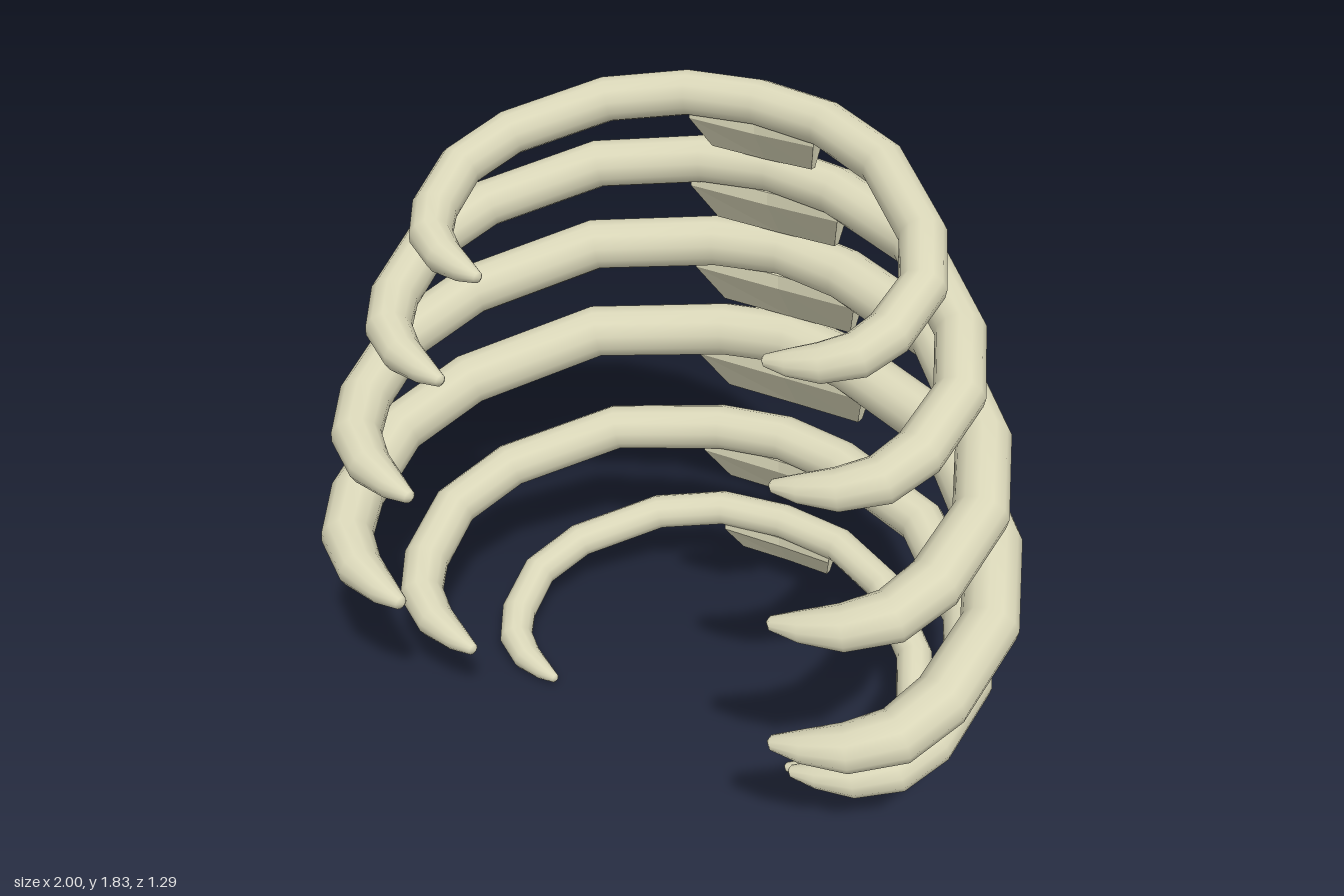
import * as THREE from 'three';

// Each rib: half width, back z/y, tip z/y, tube radius, plate scale
const RIBS = [
  { w: 0.66, zb: -0.34, yb: 1.79, zf: 0.385, yf: 1.51, r: 0.06, s: 0.69 },
  { w: 0.78, zb: -0.43, yb: 1.565, zf: 0.475, yf: 1.235, r: 0.065, s: 0.84 },
  { w: 0.87, zb: -0.512, yb: 1.28, zf: 0.575, yf: 0.915, r: 0.072, s: 0.94 },
  { w: 0.922, zb: -0.567, yb: 0.965, zf: 0.615, yf: 0.58, r: 0.077, s: 1 },
  { w: 0.835, zb: -0.545, yb: 0.63, zf: 0.385, yf: 0.275, r: 0.067, s: 0.9 },
  { w: 0.633, zb: -0.555, yb: 0.318, zf: 0.16, yf: 0.053, r: 0.052, s: 0.68 },
];

// Half of the rib outline: x as share of half width, depth from back to tip, thickness
const OUTLINE = [
  [0, 0, 1], [0.25, 0.027, 1], [0.61, 0.14, 1], [0.9, 0.385, 1], [1, 0.58, 1],
  [0.975, 0.78, 1], [0.91, 0.89, 0.95], [0.8, 0.955, 0.82], [0.69, 0.985, 0.55], [0.61, 1, 0.25],
];
const SIDES = 12;

function buildGeometry(positions, index) {
  const g = new THREE.BufferGeometry();
  g.setAttribute('position', new THREE.Float32BufferAttribute(positions, 3));
  g.setIndex(index);
  g.computeVertexNormals();
  return g;
}

// Tapered tube swept along the mirrored outline, lying in a tilted plane
function ribGeometry({ w, zb, yb, zf, yf, r }) {
  const half = OUTLINE.map(([x, t, k], i) => ({
    p: new THREE.Vector3(i === 1 ? 0.2 : x * w, yb + (yf - yb) * t, zb + (zf - zb) * t), k,
  }));
  const mirrored = half.slice(1).reverse().map(({ p, k }) => ({ p: new THREE.Vector3(-p.x, p.y, p.z), k }));
  const path = [...mirrored, ...half];
  const last = path.length - 1;
  const up = new THREE.Vector3(0, zf - zb, yb - yf).normalize();
  const pos = [], idx = [];
  path.forEach(({ p, k }, i) => {
    const a = path[Math.max(i - 1, 0)].p, b = path[Math.min(i + 1, last)].p;
    const dirIn = p.clone().sub(a).normalize(), dirOut = b.clone().sub(p).normalize();
    const side = up.clone().cross(dirIn.add(dirOut).normalize());
    for (let j = 0; j < SIDES; j++) {
      const ang = (j / SIDES) * Math.PI * 2;
      const q = p.clone().addScaledVector(side, Math.cos(ang) * r * k).addScaledVector(up, Math.sin(ang) * r * k);
      pos.push(q.x, q.y, q.z);
      if (i < last) {
        const n = (j + 1) % SIDES, o = i * SIDES;
        idx.push(o + j, o + n, o + SIDES + j, o + n, o + SIDES + n, o + SIDES + j);
      }
    }
  });
  // Rounded-off tips
  const c = path.length * SIDES;
  for (const end of [0, last]) {
    const p = path[end].p;
    pos.push(p.x - Math.sign(p.x) * r * 0.15, p.y, p.z);
  }
  for (let j = 0; j < SIDES; j++) {
    const n = (j + 1) % SIDES, o = last * SIDES;
    idx.push(c, n, j, c + 1, o + j, o + n);
  }
  return buildGeometry(pos, idx);
}

// Back plate profile: z, y, half width, running down the back and up the inside
const PLATE = [
  [-0.02, -0.04, 0.25], [-0.085, -0.14, 0.245], [-0.085, -0.262, 0.215],
  [-0.055, -0.258, 0.215], [0.04, -0.115, 0.265], [0.04, -0.07, 0.265],
];

// Plate bent along its middle, three columns of the profile plus side caps
function plateGeometry({ zb, yb, s }) {
  const pos = [], idx = [], n = PLATE.length;
  for (const side of [-1, 0, 1]) {
    for (const [z, y, hw] of PLATE) {
      const off = Math.abs(side);
      pos.push(side * hw * s, yb + (y + off * 0.02) * s, zb + (z + off * 0.03) * s);
    }
  }
  for (let c = 0; c < 2; c++) {
    for (let j = 0; j < n; j++) {
      const a = c * n + j, b = c * n + ((j + 1) % n);
      idx.push(a, b, a + n, b, b + n, a + n);
    }
  }
  for (let j = 1; j < n - 1; j++) {
    idx.push(0, j + 1, j, 2 * n, 2 * n + j, 2 * n + j + 1);
  }
  return buildGeometry(pos, idx);
}

export function createModel() {
  const model = new THREE.Group();
  model.name = 'ribCage';
  const bone = new THREE.MeshStandardMaterial({ color: 0xd9d6b8 });
  const plateBone = new THREE.MeshStandardMaterial({ color: 0xd9d6b8, flatShading: true, side: THREE.DoubleSide });

  RIBS.forEach((spec, i) => {
    const pair = new THREE.Group();
    pair.name = `ribSegment${i + 1}`;
    const rib = new THREE.Mesh(ribGeometry(spec), bone);
    rib.name = 'rib';
    const plate = new THREE.Mesh(plateGeometry(spec), plateBone);
    plate.name = 'spinePlate';
    pair.add(rib, plate);
    model.add(pair);
  });
  return model;
}
